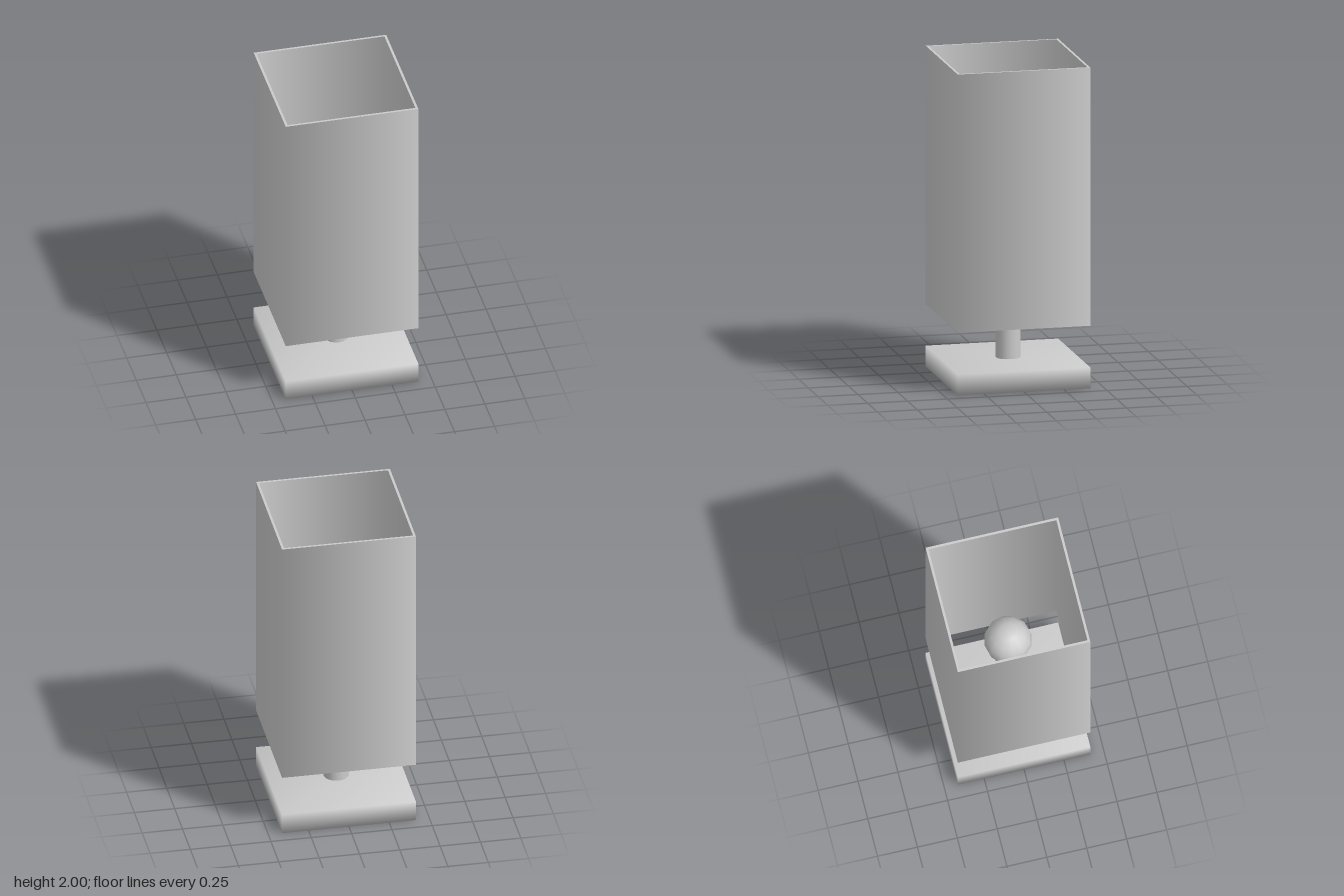
import * as THREE from 'three';
import { mergeVertices } from 'three/addons/utils/BufferGeometryUtils.js';

const material = new THREE.MeshStandardMaterial({ color: 0xcccccc });

function add(parent, name, geometry, x = 0, y = 0, z = 0) {
  const mesh = new THREE.Mesh(geometry, material);
  mesh.name = name;
  mesh.position.set(x, y, z);
  parent.add(mesh);
  return mesh;
}

// Square surface swept around y between two [halfWidth, height] points
function squareSweep(...points) {
  const profile = points.map(([half, y]) => new THREE.Vector2(half * Math.SQRT2, y));
  return new THREE.LatheGeometry(profile, 4, Math.PI / 4);
}

// Box whose normals are shared at the corners, giving soft shading
function softBox(w, h, d) {
  const box = new THREE.BoxGeometry(w, h, d);
  box.deleteAttribute('normal');
  box.deleteAttribute('uv');
  const merged = mergeVertices(box);
  merged.computeVertexNormals();
  return merged;
}

export function createModel() {
  const lamp = new THREE.Group();
  lamp.name = 'tableLamp';

  const outer = 0.415, inner = 0.4;
  const shadeBottom = 0.39, shadeTop = 2;
  const baseHeight = 0.13, stemTop = 1.1;

  // Square base and round stem
  add(lamp, 'base', softBox(outer * 2, baseHeight, outer * 2), 0, baseHeight / 2);
  const stemHeight = stemTop - baseHeight;
  add(lamp, 'stem', new THREE.CylinderGeometry(0.077, 0.077, stemHeight, 16),
    0, baseHeight + stemHeight / 2);

  // Bulb on top of the stem
  add(lamp, 'bulb', new THREE.SphereGeometry(0.148, 12, 8), 0, stemTop + 0.1);

  // Open square shade: two wall skins joined by thin rims
  const shade = new THREE.Group();
  shade.name = 'shade';
  lamp.add(shade);
  const ring = [[outer, shadeBottom], [outer, shadeTop], [inner, shadeTop], [inner, shadeBottom]];
  ['outerWall', 'topRim', 'innerWall', 'bottomRim'].forEach((name, i) => {
    add(shade, name, squareSweep(ring[i], ring[(i + 1) % 4]));
  });

  // Four thin spokes holding the shade to the stem
  const spokeLength = inner - 0.06;
  for (let i = 0; i < 4; i++) {
    const angle = (i * Math.PI) / 2;
    const geometry = new THREE.CylinderGeometry(0.0125, 0.0125, spokeLength, 8);
    geometry.rotateZ(Math.PI / 2);
    geometry.translate(0.06 + spokeLength / 2, 0, 0);
    add(lamp, 'spoke', geometry, 0, shadeBottom + 0.015).rotation.y = angle;
  }

  return lamp;
}
